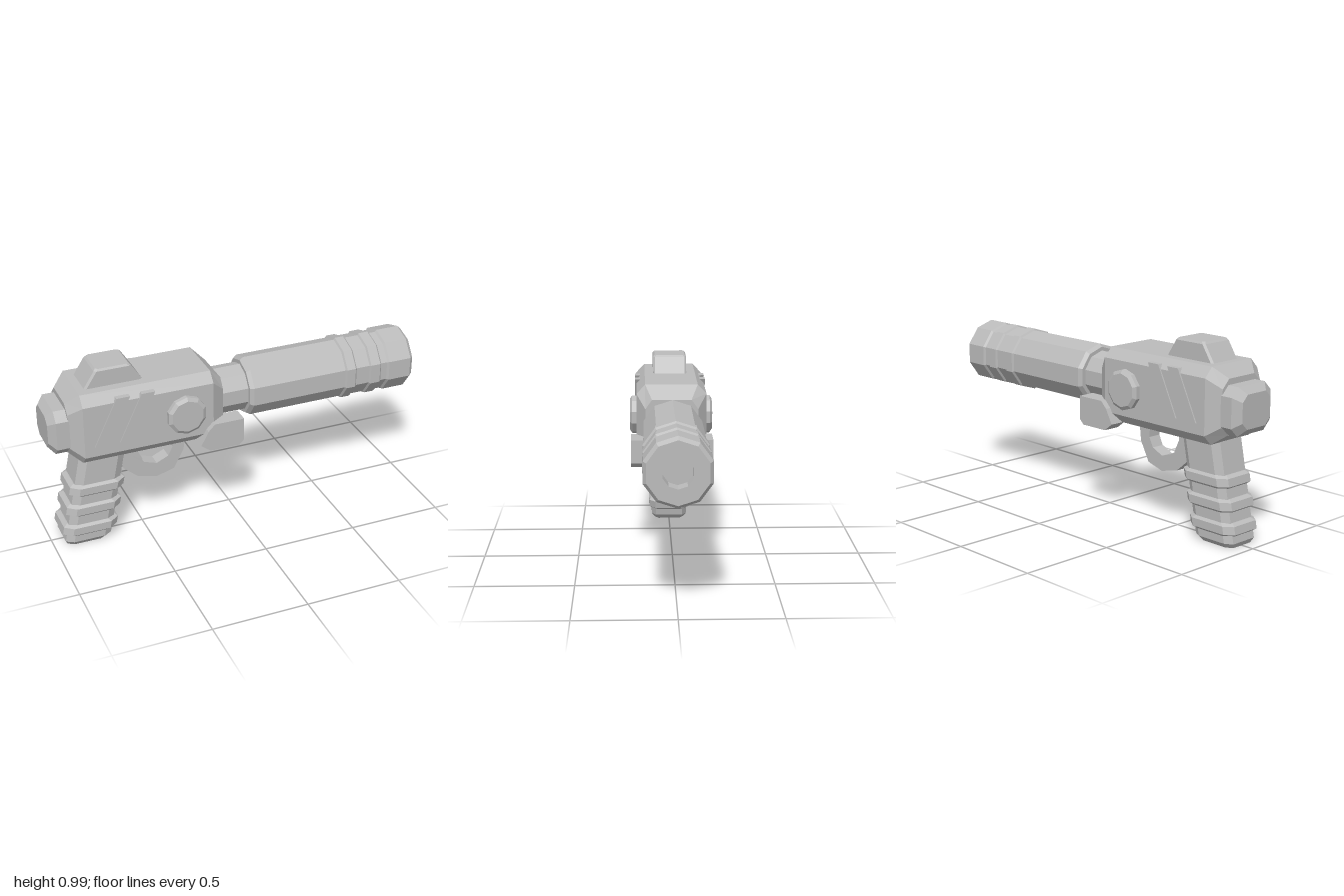
import * as THREE from 'three';

const grey = new THREE.MeshStandardMaterial({ color: 0xbbbbbb });
grey.name = 'plain grey';

// Hard-edged mesh: every facet gets its own normal
function part(name, geometry, parent) {
  const g = geometry.index ? geometry.toNonIndexed() : geometry;
  g.computeVertexNormals();
  const mesh = new THREE.Mesh(g, grey);
  mesh.name = name;
  parent.add(mesh);
  return mesh;
}

// Skin over a row of equal-sized cross-sections, with flat caps
function loft(rings) {
  const n = rings[0].length;
  const tris = [];
  for (let i = 0; i + 1 < rings.length; i++) {
    for (let j = 0; j < n; j++) {
      const k = (j + 1) % n;
      const [a, b, c, d] = [rings[i][j], rings[i][k], rings[i + 1][k], rings[i + 1][j]];
      tris.push([a, b, c], [a, c, d]);
    }
  }
  const last = rings[rings.length - 1];
  for (let j = 1; j + 1 < n; j++) {
    tris.push([rings[0][0], rings[0][j + 1], rings[0][j]], [last[0], last[j], last[j + 1]]);
  }
  // Turn the skin outward if the sections ran the other way
  const mid = rings[0][0];
  let volume = 0;
  for (const [a, b, c] of tris) {
    const e = b.clone().sub(mid).cross(c.clone().sub(mid));
    volume += a.clone().sub(mid).dot(e);
  }
  if (volume < 0) tris.forEach((t) => t.reverse());
  return new THREE.BufferGeometry().setFromPoints(tris.flat());
}

// Rectangle with cut corners, as [u, v] pairs
function cutRect(u0, u1, v0, v1, cu, cv) {
  return [
    [u0 + cu, v0], [u1 - cu, v0], [u1, v0 + cv], [u1, v1 - cv],
    [u1 - cu, v1], [u0 + cu, v1], [u0, v1 - cv], [u0, v0 + cv],
  ];
}
const atX = (x, y0, y1, hz, cy, cz) =>
  cutRect(y0, y1, -hz, hz, cy, cz).map(([y, z]) => new THREE.Vector3(x, y, z));
const atY = (y, cx, hx, hz, ccx, ccz) =>
  cutRect(cx - hx, cx + hx, -hz, hz, ccx, ccz).map(([x, z]) => new THREE.Vector3(x, y, z));

// Flat outline in x and y, given thickness along z
function slab(points, z0, z1) {
  const shape = new THREE.Shape(points.map(([x, y]) => new THREE.Vector2(x, y)));
  const g = new THREE.ExtrudeGeometry(shape, { depth: z1 - z0, bevelEnabled: false });
  return g.translate(0, 0, z0);
}

// Ten-sided turned form from [radius, height] pairs
const turned = (profile) => new THREE.LatheGeometry(
  profile.map(([r, h]) => new THREE.Vector2(r, h)), 10, Math.PI / 2);

export function createModel() {
  const model = new THREE.Group();
  model.name = 'toyBlaster';

  // Main housing with bevelled ends
  part('body', loft([
    atX(-0.905, 0.565, 0.84, 0.135, 0.045, 0.045),
    atX(-0.84, 0.515, 0.895, 0.187, 0.05, 0.047),
    atX(-0.16, 0.515, 0.895, 0.187, 0.05, 0.047),
    atX(-0.09, 0.55, 0.825, 0.14, 0.05, 0.035),
  ]), model);

  // Stepped cap at the back
  part('rearCap', loft([
    atX(-0.88, 0.57, 0.81, 0.14, 0.045, 0.045),
    atX(-0.965, 0.57, 0.81, 0.14, 0.045, 0.045),
    atX(-1, 0.605, 0.775, 0.1, 0.035, 0.035),
  ]), model);

  // Sight block on top
  part('sight', loft([
    atY(0.88, -0.65, 0.16, 0.092, 0.012, 0.01),
    atY(0.98, -0.65, 0.095, 0.092, 0.012, 0.01),
    atY(0.99, -0.65, 0.085, 0.084, 0.012, 0.01),
  ]), model);

  // Neck, sleeve, two bands and hollow muzzle
  const barrel = part('barrel', turned([
    [0, -0.12], [0.125, -0.12], [0.125, 0.06], [0.145, 0.06], [0.16, 0.08],
    [0.16, 0.6], [0.17, 0.607], [0.17, 0.655], [0.16, 0.665],
    [0.16, 0.74], [0.17, 0.747], [0.17, 0.8], [0.16, 0.81],
    [0.16, 0.845], [0.17, 0.855], [0.17, 0.98], [0.153, 1],
    [0.075, 1], [0.075, 0.92], [0, 0.92],
  ]), model);
  barrel.rotation.z = -Math.PI / 2;
  barrel.position.y = 0.697;

  // Slanted grip
  const gripX = (y) => -0.825 + 0.2 * y;
  part('grip', loft([
    atY(0, gripX(0), 0.105, 0.082, 0.035, 0.02),
    atY(0.025, gripX(0.025), 0.122, 0.1, 0.04, 0.024),
    atY(0.54, gripX(0.54), 0.122, 0.1, 0.04, 0.024),
  ]), model);

  // Raised bands around the grip
  for (const y of [0.095, 0.21, 0.325]) {
    const band = [[-0.032, 0.127, 0.102], [-0.02, 0.145, 0.115], [0.02, 0.145, 0.115], [0.032, 0.127, 0.102]];
    part('gripBand', loft(band.map(([dy, hx, hz]) =>
      atY(y + dy, gripX(y + dy), hx, hz, 0.045, 0.036))), model);
  }

  // Guard loop and trigger
  part('triggerGuard', slab([
    [-0.64, 0.53], [-0.62, 0.42], [-0.6, 0.365], [-0.525, 0.3], [-0.42, 0.275], [-0.325, 0.303],
    [-0.27, 0.405], [-0.255, 0.53], [-0.335, 0.53], [-0.33, 0.435], [-0.355, 0.385],
    [-0.42, 0.355], [-0.49, 0.378], [-0.545, 0.42], [-0.57, 0.53],
  ], -0.036, 0.036), model);
  part('trigger', slab([
    [-0.59, 0.53], [-0.57, 0.42], [-0.49, 0.385], [-0.52, 0.45], [-0.53, 0.53],
  ], -0.02, 0.02), model);

  // Details repeated on both sides
  for (const side of [1, -1]) {
    const name = side > 0 ? 'front' : 'back';

    // Round boss
    const boss = part(name + 'SideBoss', turned([
      [0, 0], [0.104, 0], [0.104, 0.042], [0.086, 0.054], [0, 0.054],
    ]).rotateZ(Math.PI / 2), model);
    boss.geometry.rotateX(side * Math.PI / 2);
    // Align the boss axis with z
    boss.geometry.dispose();
    boss.geometry = turned([
      [0, 0], [0.104, 0], [0.104, 0.042], [0.086, 0.054], [0, 0.054],
    ]).rotateY(Math.PI / 2).rotateX(side * Math.PI / 2).toNonIndexed();
    boss.geometry.computeVertexNormals();
    boss.position.set(-0.31, 0.705, side * 0.168);

    // Lower block beside the neck
    const z0 = side > 0 ? 0.125 : -0.217;
    part(name + 'LowerBlock', slab([
      [-0.24, 0.515], [-0.19, 0.477], [-0.03, 0.477], [-0.005, 0.502],
      [-0.005, 0.625], [-0.165, 0.625], [-0.2, 0.59],
    ], z0, z0 + 0.092), model);

    // Two slanted ribs
    for (const x of [-0.67, -0.54]) {
      const r0 = side > 0 ? 0.155 : -0.194;
      part(name + 'SlantedRib', slab([
        [x - 0.12, 0.62], [x - 0.05, 0.62], [x + 0.07, 0.868], [x, 0.868],
      ], r0, r0 + 0.039), model);
    }
  }

  return model;
}
